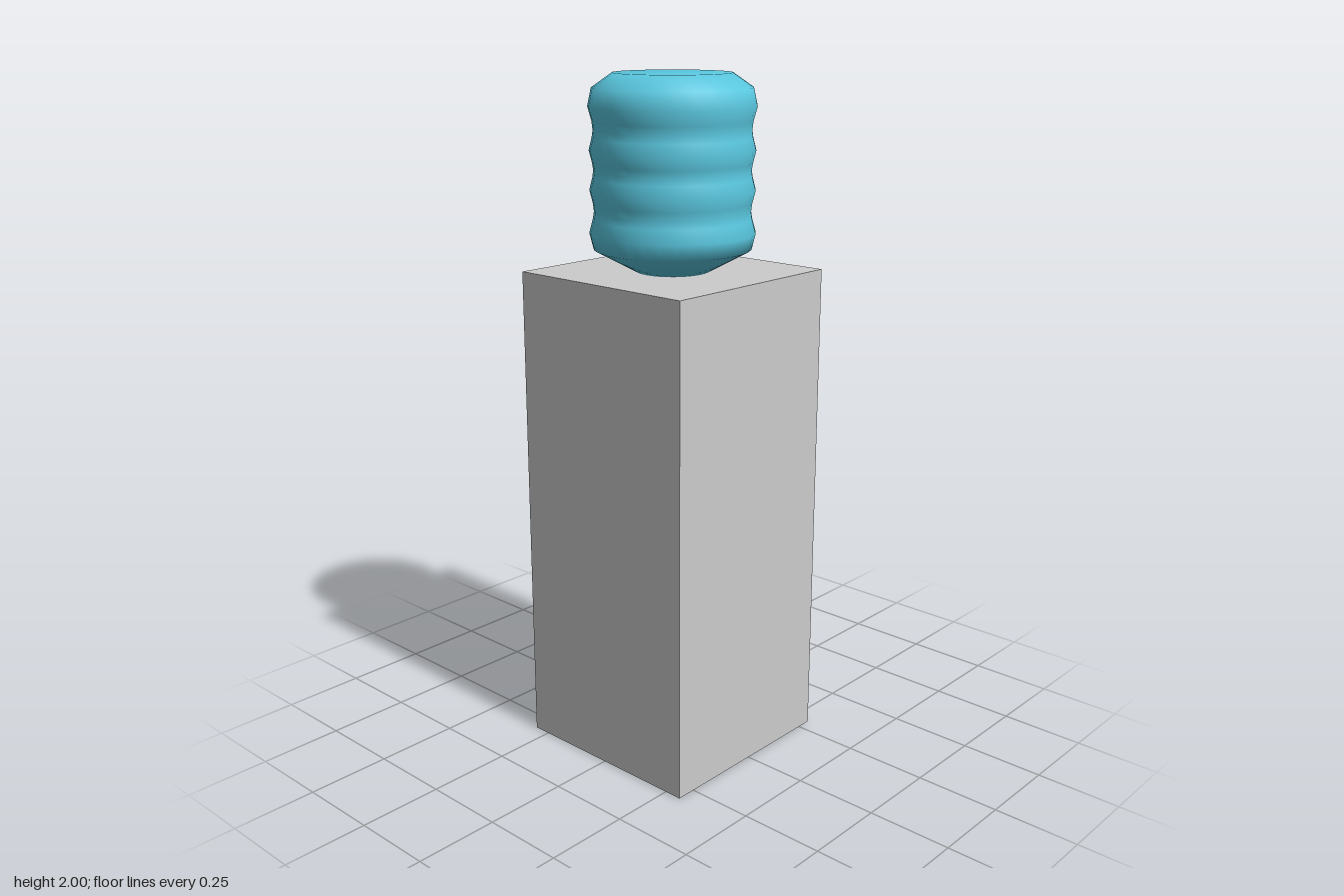
import * as THREE from 'three';

const grey = new THREE.MeshStandardMaterial({ color: 0xcccccc });
const flatGrey = new THREE.MeshStandardMaterial({ color: 0xcccccc, flatShading: true });
const paint = (color) => new THREE.MeshStandardMaterial({ color });

function add(parent, name, geometry, material, x = 0, y = 0, z = 0) {
  const mesh = new THREE.Mesh(geometry, material);
  mesh.name = name;
  mesh.position.set(x, y, z);
  parent.add(mesh);
  return mesh;
}

// Skins a run of rectangles [x, zMin, zMax, yMin, yMax] and caps both ends
function loftRectangles(rings) {
  const pos = [];
  const loops = rings.map(([x, z0, z1, y0, y1]) => [[x, y0, z1], [x, y0, z0], [x, y1, z0], [x, y1, z1]]);
  const quad = (a, b, c, d) => pos.push(...a, ...b, ...c, ...a, ...c, ...d);
  for (let r = 0; r < loops.length - 1; r++) {
    const a = loops[r], b = loops[r + 1];
    for (let i = 0; i < 4; i++) {
      const j = (i + 1) % 4;
      quad(a[i], a[j], b[j], b[i]);
    }
  }
  const first = loops[0], last = loops[loops.length - 1];
  quad(first[3], first[2], first[1], first[0]);
  quad(last[0], last[1], last[2], last[3]);
  const geometry = new THREE.BufferGeometry();
  geometry.setAttribute('position', new THREE.Float32BufferAttribute(pos, 3));
  geometry.computeVertexNormals();
  return geometry;
}

// Tap: tapered spout, coloured cap, stem to the recess wall and thin lever
function createTap(name, color, z) {
  const tap = new THREE.Group();
  tap.name = name;
  const material = paint(color);
  add(tap, 'spout', new THREE.CylinderGeometry(0.031, 0.012, 0.1, 8), flatGrey, 0, -0.055, 0);
  add(tap, 'cap', new THREE.CylinderGeometry(0.028, 0.028, 0.025, 12), material, 0, 0.003, 0);
  const stem = add(tap, 'stem', new THREE.CylinderGeometry(0.014, 0.014, 0.05, 10), material, -0.024, 0, 0);
  stem.rotation.z = Math.PI / 2;
  add(tap, 'lever', new THREE.BoxGeometry(0.018, 0.005, 0.045), material, 0, 0.014, 0.0225);
  tap.position.set(0.212, 1.15, z);
  return tap;
}

export function createModel() {
  const model = new THREE.Group();
  model.name = 'waterCooler';

  // Cabinet with a bevelled dispensing recess in its +x side
  add(model, 'cabinet', loftRectangles([
    [-0.31, -0.303, 0.303, 0, 1.45],
    [0.295, -0.303, 0.303, 0, 1.45],
    [0.295, -0.226, 0.23, 0.73, 1.387],
    [0.245, -0.203, 0.205, 0.765, 1.358],
    [0.165, -0.203, 0.205, 0.765, 1.358],
  ]), grey);

  // Raised door below the recess
  add(model, 'door', new THREE.BoxGeometry(0.025, 0.573, 0.395), grey, 0.2975, 0.402, 0.002);

  model.add(createTap('coldTap', 0x1830c0, 0.095));
  model.add(createTap('hotTap', 0xd01820, -0.088));

  // Ribbed bottle turned upside down on the cabinet
  const profile = [
    [0, 1.45], [0.105, 1.45], [0.225, 1.515], [0.236, 1.56],
    [0.225, 1.6], [0.222, 1.62], [0.225, 1.645], [0.234, 1.68],
    [0.225, 1.715], [0.222, 1.735], [0.225, 1.755], [0.234, 1.79],
    [0.225, 1.825], [0.222, 1.845], [0.225, 1.87], [0.236, 1.91],
    [0.225, 1.96], [0.167, 2], [0, 2],
  ].map(([r, y]) => new THREE.Vector2(r, y));
  add(model, 'bottle', new THREE.LatheGeometry(profile, 32), paint(0x5ac8e0), -0.0075, 0, 0);

  return model;
}
